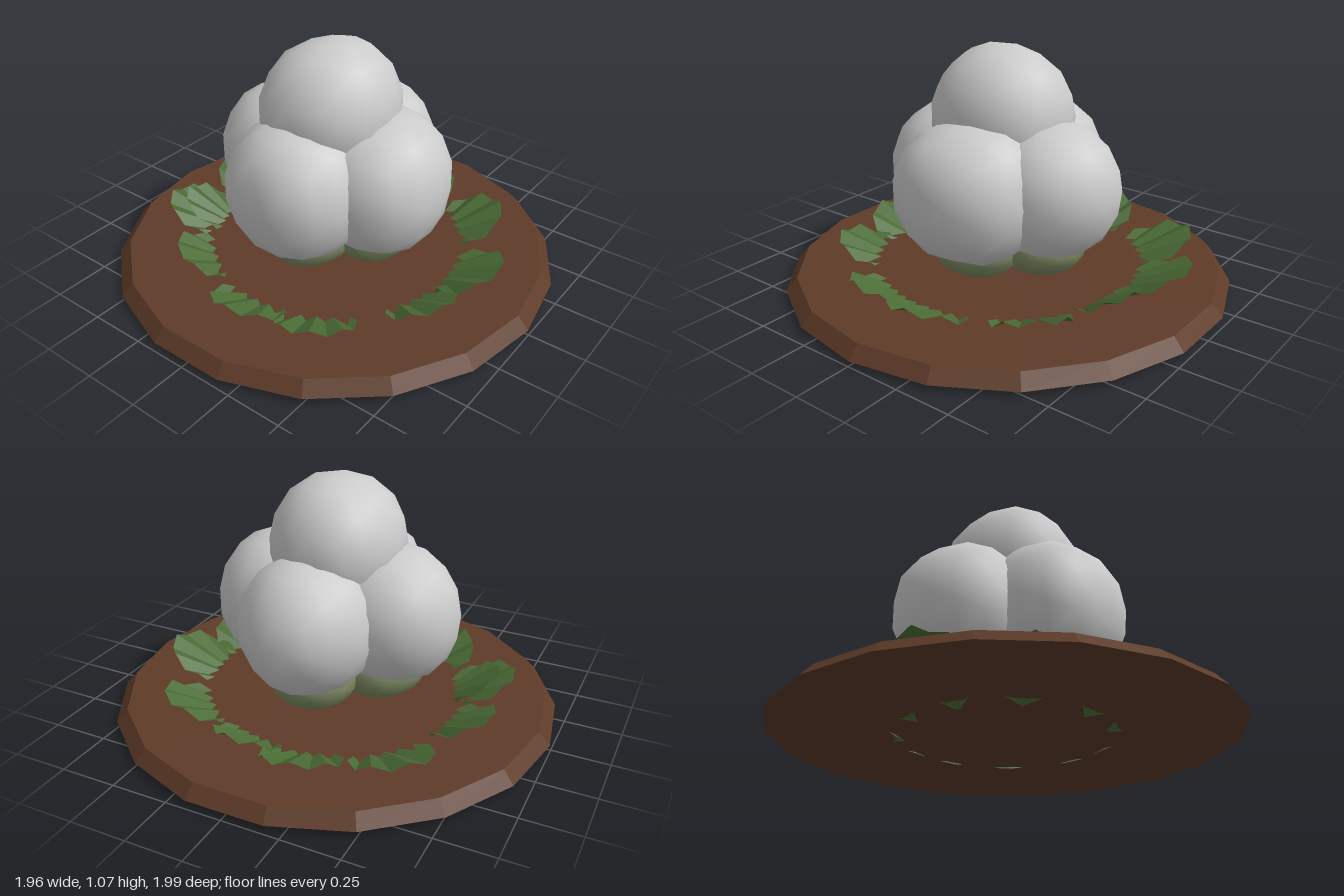
import * as THREE from 'three';
import { mergeVertices } from 'three/addons/utils/BufferGeometryUtils.js';

const material = (color, extra = {}) => new THREE.MeshStandardMaterial({ color, ...extra });

// Rounded lump: a coarse sphere pushed towards a box (n > 2) or a diamond (n < 2), slightly uneven
function lumpGeometry(rx, ry, rz, n, seed) {
  let geo = new THREE.IcosahedronGeometry(1, 2);
  geo.deleteAttribute('uv');
  geo.deleteAttribute('normal');
  geo = mergeVertices(geo, 1e-4);
  const pos = geo.attributes.position;
  const v = new THREE.Vector3();
  for (let i = 0; i < pos.count; i++) {
    v.fromBufferAttribute(pos, i).normalize();
    const norm = (Math.abs(v.x) ** n + Math.abs(v.y) ** n + Math.abs(v.z) ** n) ** (1 / n);
    const bump = 1 + 0.025 * Math.sin(3 * v.x + seed) * Math.cos(4 * v.z + 2 * seed);
    v.multiplyScalar(bump / norm);
    pos.setXYZ(i, v.x * rx, v.y * ry, v.z * rz);
  }
  geo.computeVertexNormals();
  return geo;
}

// Pleated fan leaf: ridges run from a sunken inner point to a rounded, raised outer edge
function leafGeometry(length, width, rise) {
  const folds = 10;
  const points = [0, 0, 0];
  const index = [];
  for (let i = 0; i <= folds; i++) {
    const a = (i / folds - 0.5) * Math.PI * 1.35;
    const z = length * (0.56 + 0.44 * Math.cos(a));
    const x = (width / 2) * Math.sin(a);
    const pleat = i % 2 ? 0.014 : -0.014;
    points.push(x, rise * (z / length) + pleat, z);
    if (i > 0) index.push(0, i, i + 1);
  }
  const geo = new THREE.BufferGeometry();
  geo.setAttribute('position', new THREE.Float32BufferAttribute(points, 3));
  geo.setIndex(index);
  geo.computeVertexNormals();
  return geo;
}

export function createModel() {
  const model = new THREE.Group();
  const add = (name, geometry, mat, x = 0, y = 0, z = 0) => {
    const mesh = new THREE.Mesh(geometry, mat);
    mesh.name = name;
    mesh.position.set(x, y, z);
    model.add(mesh);
    return mesh;
  };

  const soilMat = material(0x5e3b28, { flatShading: true });
  const leafMat = material(0x4a6b35, { flatShading: true, side: THREE.DoubleSide });
  const sepalMat = material(0x7c8a62);
  const fluffMat = material(0xcccccc);

  // Round bed of soil with a bevelled rim
  add('soil', new THREE.CylinderGeometry(0.945, 0.995, 0.055, 18), soilMat, 0, 0.0525, 0);

  // Short stem hidden under the bolls
  add('stem', new THREE.CylinderGeometry(0.12, 0.1, 0.3, 8), soilMat, 0, 0.2, 0);

  // Four side bolls, each resting on a green sepal cup: x, z, radii, squareness
  const bolls = [
    ['frontBoll', -0.01, 0.24, 0.32, 0.31, 2.3],
    ['leftBoll', 0.24, 0.02, 0.31, 0.295, 2.0],
    ['backBoll', -0.02, -0.25, 0.29, 0.31, 2.1],
    ['rightBoll', -0.25, 0.01, 0.305, 0.31, 2.35],
  ];
  bolls.forEach(([name, x, z, rx, rz, n], i) => {
    add(name, lumpGeometry(rx, 0.305, rz, n, i * 1.7), fluffMat, x, 0.485, z);
    add('sepalCup', lumpGeometry(0.2, 0.14, 0.2, 2, i), sepalMat, x * 0.82, 0.225, z * 0.82);
  });

  // Top boll
  add('topBoll', lumpGeometry(0.32, 0.315, 0.3, 2.05, 4), fluffMat, -0.03, 0.76, 0.005);

  // Ring of leaves: x and z of the tip, width, height of the tip
  const leaves = [
    [0.13, -0.78, 0.3, 0.18], [0.6, -0.6, 0.36, 0.18], [0.82, -0.2, 0.34, 0.2],
    [0.73, 0.14, 0.3, 0.18], [0.56, 0.55, 0.34, 0.18], [0.11, 0.8, 0.35, 0.19],
    [-0.24, 0.73, 0.33, 0.17], [-0.68, 0.39, 0.34, 0.16], [-0.77, 0.03, 0.34, 0.17],
    [-0.59, -0.42, 0.34, 0.17], [-0.3, -0.75, 0.32, 0.18], [-0.25, -0.69, 0.26, 0.2],
  ];
  const inner = 0.42;
  const baseY = 0.005;
  for (const [x, z, width, tipY] of leaves) {
    const angle = Math.atan2(x, z);
    const leaf = add('leaf', leafGeometry(Math.hypot(x, z) - inner, width, tipY - baseY), leafMat,
      Math.sin(angle) * inner, baseY, Math.cos(angle) * inner);
    leaf.rotation.y = angle;
  }

  return model;
}
